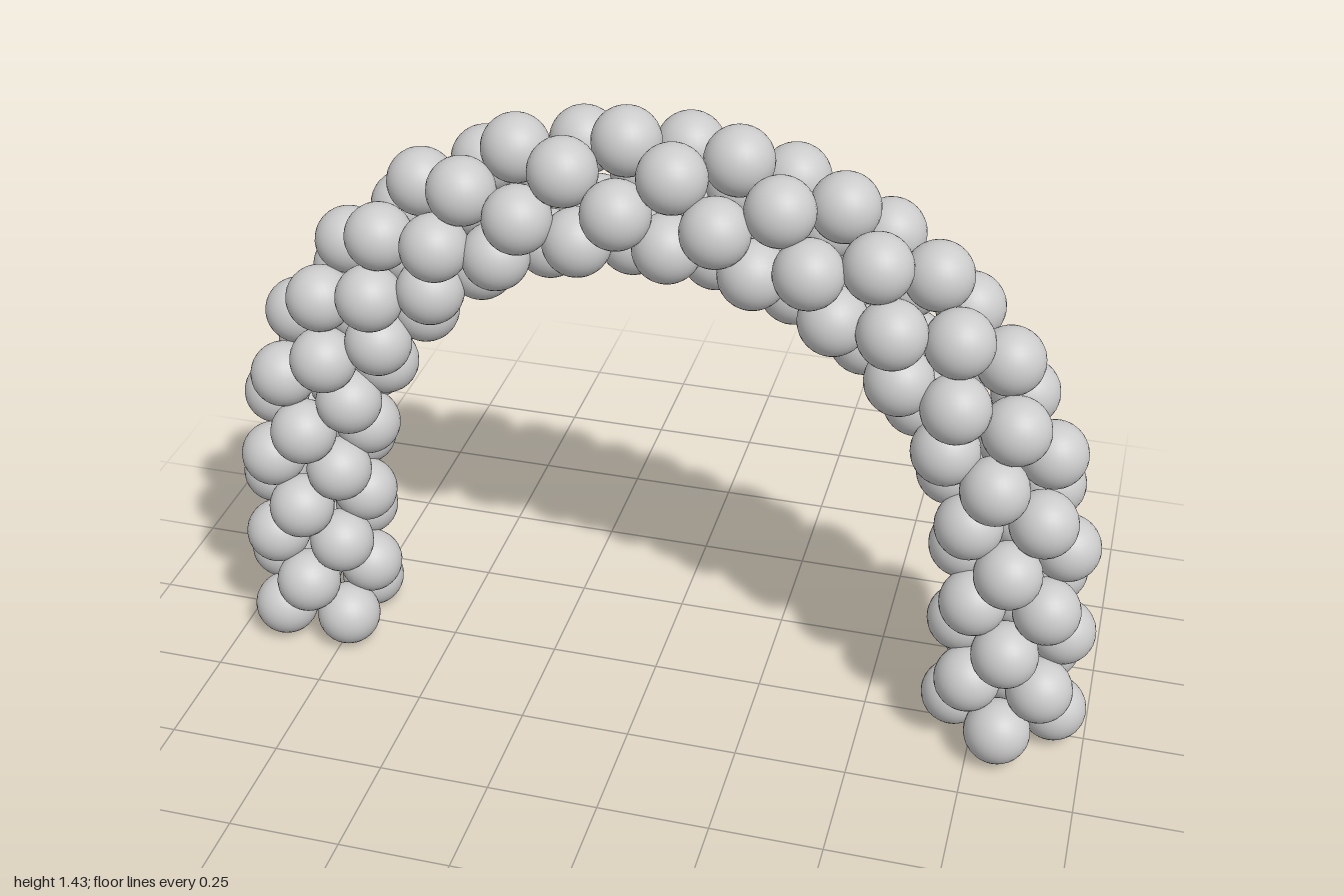
import * as THREE from 'three';

const RADIUS = 0.074; // balloon radius
const OFFSET = 0.112; // distance of balloon centres from the arch centreline
const RINGS = 32;

// Centreline of the arch; every odd ring falls exactly on a control point
const CENTRELINE = [
  [-0.815, -0.03], [-0.815, 0.182], [-0.813, 0.395], [-0.79, 0.602], [-0.725, 0.80],
  [-0.605, 0.972], [-0.45, 1.115], [-0.265, 1.205], [-0.055, 1.243], [0.152, 1.23],
  [0.345, 1.163], [0.52, 1.05], [0.66, 0.896], [0.755, 0.711], [0.80, 0.503],
  [0.811, 0.292], [0.812, 0.077],
];

export function createModel() {
  const model = new THREE.Group();
  model.name = 'balloonArch';

  const curve = new THREE.CatmullRomCurve3(
    CENTRELINE.map(([x, y]) => new THREE.Vector3(x, y, 0)));
  const balloonGeometry = new THREE.SphereGeometry(RADIUS, 28, 18);
  const material = new THREE.MeshStandardMaterial({ color: 0xcccccc });

  // Clusters of four balloons, each turned 45 degrees from its neighbour
  for (let i = 0; i < RINGS; i++) {
    const t = (i + 1) / RINGS;
    const centre = curve.getPoint(t);
    const tangent = curve.getTangent(t);
    const normal = new THREE.Vector3(-tangent.y, tangent.x, 0);

    const cluster = new THREE.Group();
    cluster.name = `balloonCluster${i + 1}`;
    cluster.position.copy(centre);
    const twist = i % 2 === 0 ? Math.PI / 4 : 0;
    for (let k = 0; k < 4; k++) {
      const angle = twist + k * Math.PI / 2;
      const balloon = new THREE.Mesh(balloonGeometry, material);
      balloon.name = `balloon${k + 1}`;
      balloon.position.copy(normal).multiplyScalar(OFFSET * Math.cos(angle));
      balloon.position.z = OFFSET * Math.sin(angle);
      cluster.add(balloon);
    }
    model.add(cluster);
  }
  return model;
}
